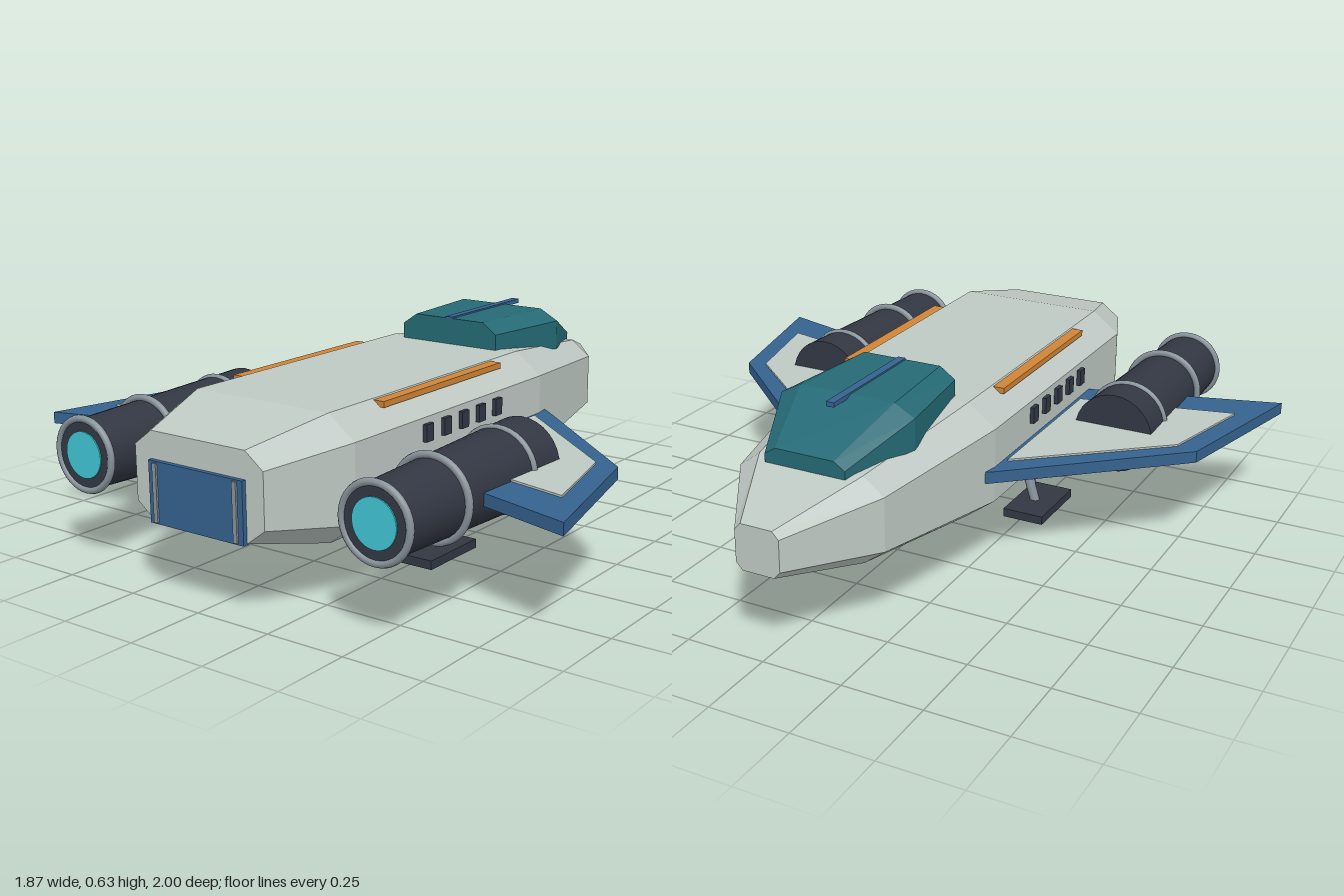
import * as THREE from 'three';

const mat = (name, color) => {
  const m = new THREE.MeshStandardMaterial({ color });
  m.name = name;
  return m;
};

// Skin a series of cross-sections [z, [[x, y], ...]] ordered by rising z
function loft(sections) {
  const pos = [];
  const rings = sections.map(([z, pts]) => pts.map(([x, y]) => [x, y, z]));
  const tri = (a, b, c) => pos.push(...a, ...b, ...c);
  const n = rings[0].length;
  for (let i = 0; i < rings.length - 1; i++) {
    for (let j = 0; j < n; j++) {
      const k = (j + 1) % n;
      tri(rings[i][j], rings[i][k], rings[i + 1][k]);
      tri(rings[i][j], rings[i + 1][k], rings[i + 1][j]);
    }
  }
  const first = rings[0], last = rings[rings.length - 1];
  for (let j = 1; j < n - 1; j++) {
    tri(first[0], first[j + 1], first[j]);
    tri(last[0], last[j], last[j + 1]);
  }
  const g = new THREE.BufferGeometry();
  g.setAttribute('position', new THREE.Float32BufferAttribute(pos, 3));
  g.computeVertexNormals();
  return g;
}

// Horizontal plate from an [x, z] outline
function plate(outline, side, y, thickness) {
  const shape = new THREE.Shape(outline.map(([x, z]) => new THREE.Vector2(x * side, -z)));
  return new THREE.ExtrudeGeometry(shape, { depth: thickness, bevelEnabled: false })
    .rotateX(-Math.PI / 2).translate(0, y, 0);
}

// Round bar between two points
function bar(a, b, r) {
  const p = new THREE.Vector3(...a), q = new THREE.Vector3(...b);
  const d = q.clone().sub(p);
  const g = new THREE.CylinderGeometry(r, r, d.length(), 10);
  g.applyQuaternion(new THREE.Quaternion().setFromUnitVectors(new THREE.Vector3(0, 1, 0), d.normalize()));
  return g.translate(...p.add(q).multiplyScalar(0.5).toArray());
}

const box = (w, h, d, x, y, z) => new THREE.BoxGeometry(w, h, d).translate(x, y, z);

export function createModel() {
  const model = new THREE.Group();
  model.name = 'shuttle';
  const hullGrey = mat('hullGrey', 0xbfc9c4);
  const blue = mat('wingBlue', 0x35628f);
  const teal = mat('canopyTeal', 0x256a75);
  const orange = mat('stripeOrange', 0xd08436);
  const dark = mat('engineDark', 0x323743);
  const metal = mat('metalGrey', 0x87929a);
  const cyan = mat('exhaustCyan', 0x42c4d4);

  const add = (name, geometry, material, parent = model) => {
    const m = new THREE.Mesh(geometry, material);
    m.name = name;
    parent.add(m);
    return m;
  };

  // Hull: chamfered octagon, nose towards -z
  const octagon = (w, cw, y0, y1, c) => [
    [w, y0 + c], [w, y1 - c], [cw, y1], [-cw, y1],
    [-w, y1 - c], [-w, y0 + c], [-cw, y0], [cw, y0],
  ];
  add('hull', loft([
    [-1, octagon(0.07, 0.05, 0.27, 0.41, 0.022)],
    [-0.73, octagon(0.235, 0.168, 0.22, 0.485, 0.05)],
    [-0.24, octagon(0.33, 0.24, 0.17, 0.54, 0.068)],
    [0.72, octagon(0.33, 0.24, 0.17, 0.54, 0.068)],
    [0.98, octagon(0.232, 0.17, 0.228, 0.485, 0.047)],
  ]), hullGrey);

  // Canopy
  const canopy = (w, tw, y0, y1, y2) => [
    [w, y0], [w, y1], [tw, y2], [-tw, y2], [-w, y1], [-w, y0],
  ];
  add('canopy', loft([
    [-0.76, canopy(0.13, 0.095, 0.475, 0.502, 0.525)],
    [-0.53, canopy(0.22, 0.155, 0.495, 0.59, 0.625)],
    [-0.21, canopy(0.18, 0.13, 0.525, 0.59, 0.625)],
  ]), teal);
  add('canopySpine', box(0.026, 0.014, 0.41, 0, 0.623, -0.415), blue);

  // Rear door with two rails and panel seams
  add('rearDoor', box(0.34, 0.18, 0.02, 0, 0.315, 0.984), blue);
  for (const x of [-0.145, 0.145]) add('doorRail', box(0.014, 0.17, 0.012, x, 0.315, 0.994), metal);

  for (const s of [1, -1]) {
    const side = new THREE.Group();
    side.name = s > 0 ? 'leftSide' : 'rightSide';
    model.add(side);

    // Wing with pale upper panel
    add('wing', plate([[0.3, -0.3], [0.34, -0.275], [0.82, 0.15], [0.937, 0.657], [0.3, 0.47]], s, 0.314, 0.037), blue, side);
    add('wingPanel', plate([[0.345, -0.185], [0.755, 0.16], [0.832, 0.485], [0.345, 0.37]], s, 0.351, 0.006), hullGrey, side);

    // Roof stripe and side windows
    add('roofStripe', box(0.036, 0.018, 0.605, s * 0.262, 0.528, 0.22), orange, side);
    for (let i = 0; i < 5; i++) {
      add('sideWindow', box(0.018, 0.052, 0.036, s * 0.334, 0.427, 0.022 + i * 0.091), dark, side);
    }

    // Engine: tapered barrel, clamp rings and glowing exhaust
    const engine = new THREE.Group();
    engine.name = 'engine';
    engine.position.set(s * 0.53, 0.335, 0);
    side.add(engine);
    add('engineBarrel', new THREE.CylinderGeometry(0.105, 0.128, 0.705, 32).rotateX(Math.PI / 2).translate(0, 0, 0.5475), dark, engine);
    for (const [z, r] of [[0.325, 0.122], [0.65, 0.121], [0.896, 0.108]]) {
      add('engineRing', new THREE.TorusGeometry(r, 0.011, 10, 40).translate(0, 0, z), metal, engine);
    }
    add('exhaust', new THREE.CylinderGeometry(0.071, 0.071, 0.008, 32).rotateX(Math.PI / 2).translate(0, 0, 0.9), cyan, engine);

    // Landing leg, brace and foot
    add('landingLeg', bar([s * 0.2, 0.19, 0.235], [s * 0.253, 0.02, 0.235], 0.016), metal, side);
    add('legBrace', bar([s * 0.215, 0.19, 0.285], [s * 0.24, 0.07, 0.24], 0.01), dark, side);
    add('landingFoot', box(0.138, 0.028, 0.24, s * 0.26, 0.014, 0.24), dark, side);
  }
  return model;
}
